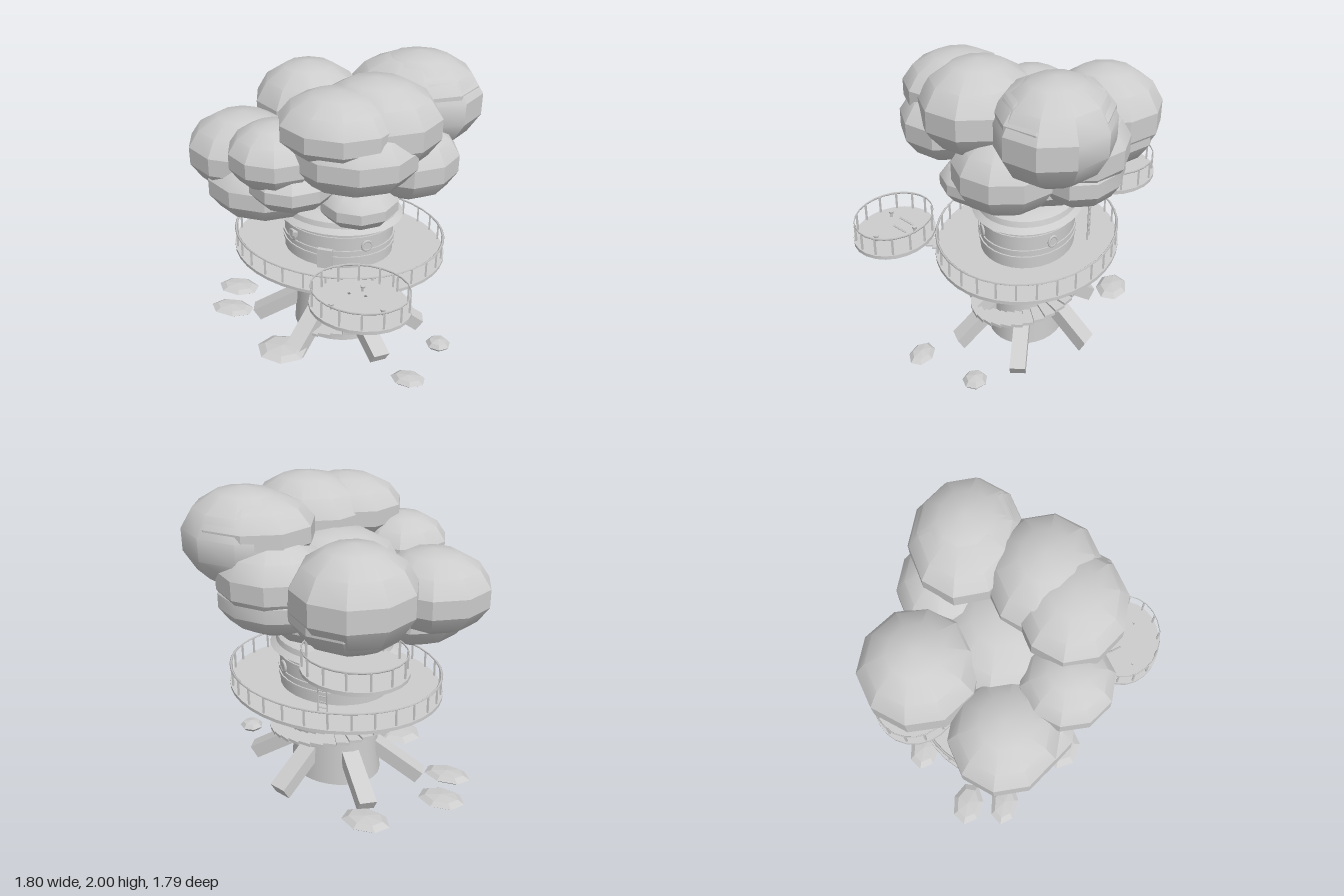
import * as THREE from 'three';
import { toCreasedNormals } from 'three/addons/utils/BufferGeometryUtils.js';

const grey = new THREE.MeshStandardMaterial({ color: 0xcccccc });
grey.name = 'plain grey';

function add(parent, name, geometry, x = 0, y = 0, z = 0) {
  const mesh = new THREE.Mesh(geometry, grey);
  mesh.name = name;
  mesh.position.set(x, y, z);
  parent.add(mesh);
  return mesh;
}

// Bar of square or round section between two points
function bar(parent, name, a, b, width, depth = 0) {
  const from = new THREE.Vector3(...a), to = new THREE.Vector3(...b);
  const length = from.distanceTo(to);
  const mesh = new THREE.Mesh(depth
    ? new THREE.BoxGeometry(width, depth, length)
    : new THREE.CylinderGeometry(width, width, length, 6).rotateX(Math.PI / 2), grey);
  mesh.name = name;
  mesh.position.copy(from).add(to).multiplyScalar(0.5);
  mesh.lookAt(to); // aimed before parenting, so in the parent's own space
  parent.add(mesh);
}

// Oval deck with posts and a top rail
function railedDeck(parent, name, x, y, z, rx, rz, posts, sides) {
  const deck = new THREE.Group();
  deck.name = name;
  deck.position.set(x, y, z);
  const floor = new THREE.CylinderGeometry(1, 1, 0.022, sides);
  add(deck, 'floor', toCreasedNormals(floor, 0.5)).scale.set(rx, 1, rz);
  const lip = new THREE.CylinderGeometry(0.96, 0.96, 0.012, sides);
  add(deck, 'underside', toCreasedNormals(lip, 0.5), 0, -0.015, 0).scale.set(rx, 1, rz);
  for (let i = 0; i < posts; i++) {
    const a = (i / posts) * Math.PI * 2;
    add(deck, 'railPost', new THREE.BoxGeometry(0.011, 0.115, 0.011),
      Math.cos(a) * (rx - 0.015), 0.065, Math.sin(a) * (rz - 0.015));
  }
  const rail = new THREE.TorusGeometry(1, 0.013, 4, sides).rotateX(Math.PI / 2);
  add(deck, 'handrail', rail, 0, 0.124, 0).scale.set(rx - 0.012, 0.6, rz - 0.012);
  parent.add(deck);
  return deck;
}

// Clumps of leaves: x, y, z, then the three radii
function addFoliage(parent) {
  const clumps = [
    [-0.27, 1.5, -0.55, 0.37, 0.31, 0.35], [-0.24, 1.42, -0.53, 0.36, 0.26, 0.34],
    [0.5, 1.69, -0.41, 0.4, 0.31, 0.33], [0.47, 1.76, -0.4, 0.4, 0.22, 0.32],
    [0.34, 1.71, 0.08, 0.39, 0.28, 0.33], [0.16, 1.74, 0.27, 0.36, 0.22, 0.31],
    [0.24, 1.58, 0.26, 0.39, 0.24, 0.31], [-0.215, 1.53, 0.31, 0.285, 0.21, 0.27],
    [-0.12, 1.36, 0.28, 0.27, 0.17, 0.27], [-0.54, 1.38, 0, 0.36, 0.26, 0.32],
    [-0.38, 1.22, 0.08, 0.37, 0.24, 0.32], [0.5, 1.4, -0.13, 0.32, 0.25, 0.3],
    [0.25, 1.18, 0.1, 0.25, 0.15, 0.25], [0.28, 1.37, -0.53, 0.34, 0.2, 0.24],
    [0.28, 1.5, -0.49, 0.35, 0.26, 0.3], [0.08, 1.24, -0.28, 0.38, 0.2, 0.3],
    [0.05, 1.45, -0.12, 0.42, 0.28, 0.38]];
  for (const [x, y, z, rx, ry, rz] of clumps) {
    // flattened first, so the crown stays smooth and the rim is creased
    const clump = new THREE.SphereGeometry(1, 10, 7).scale(rx / 0.975, ry, rz / 0.94);
    add(parent, 'foliage', toCreasedNormals(clump, 0.5), x, y, z);
  }
}

export function createModel() {
  const model = new THREE.Group();
  model.name = 'treeHouse';

  // Everything round the trunk shares its slightly oval plan
  const tree = new THREE.Group();
  tree.name = 'trunkAndHouse';
  tree.position.set(0.055, 0, -0.145);
  tree.scale.z = 0.82;
  model.add(tree);

  const lathe = (points) => toCreasedNormals(
    new THREE.LatheGeometry(points.map(p => new THREE.Vector2(...p)), 32), 0.5);
  add(tree, 'trunk', lathe([[0, 0.035], [0.31, 0.035], [0.295, 0.25], [0.28, 0.67], [0, 0.67]]));
  add(tree, 'house', lathe([[0, 0.66], [0.37, 0.66], [0.37, 0.965], [0, 0.965]]));
  for (const y of [0.755, 0.8, 0.9])
    add(tree, 'wallBand', lathe([[0.36, y - 0.01], [0.38, y - 0.01], [0.38, y + 0.01], [0.36, y + 0.01]]));
  add(tree, 'roof', lathe([[0, 0.957], [0.43, 0.957], [0.39, 0.985], [0.38, 1.02],
    [0.34, 1.04], [0.27, 1.05], [0.2, 1.13], [0.15, 1.3], [0, 1.3]]));

  // Round windows
  for (const deg of [48, 132, 228, 312]) {
    const a = deg * Math.PI / 180;
    const frame = new THREE.Group();
    frame.name = 'roundWindow';
    frame.position.set(Math.cos(a) * 0.375, 0.84, Math.sin(a) * 0.375);
    frame.rotation.y = Math.PI / 2 - a;
    add(frame, 'windowFrame', new THREE.TorusGeometry(0.034, 0.01, 6, 16));
    add(frame, 'windowPane', new THREE.CylinderGeometry(0.034, 0.034, 0.012, 16).rotateX(Math.PI / 2));
    tree.add(frame);
  }

  // Door and lamp
  add(tree, 'door', new THREE.BoxGeometry(0.1, 0.14, 0.05), -0.005, 0.75, 0.375);
  add(tree, 'lamp', new THREE.BoxGeometry(0.03, 0.03, 0.05), -0.22, 0.87, 0.31);

  // Slanting roots
  for (let i = 0; i < 6; i++) {
    const a = (-12 + i * 60) * Math.PI / 180;
    const c = Math.cos(a), s = Math.sin(a);
    bar(tree, 'root', [c * 0.22, 0.275, s * 0.22], [c * 0.59, 0.042, s * 0.59], 0.12, 0.095);
  }

  // Spiral stair, one full turn
  const steps = 34;
  for (let i = 0; i < steps; i++) {
    const t = i / (steps - 1), a = 1.75 - t * Math.PI * 2;
    const r = 0.385;
    add(tree, 'stairTread', new THREE.BoxGeometry(0.14, 0.02, 0.085),
      Math.cos(a) * r, 0.145 + t * 0.49, Math.sin(a) * r).rotation.y = -a;
  }

  // Main deck and the two balconies
  railedDeck(model, 'mainDeck', 0.055, 0.668, -0.145, 0.718, 0.588, 30, 40);
  const front = railedDeck(model, 'frontBalcony', 0.4, 0.787, 0.64, 0.308, 0.25, 14, 24);
  railedDeck(model, 'backBalcony', -0.3, 1.075, -0.61, 0.325, 0.28, 14, 24);

  // Stools on the front balcony
  for (const [x, z] of [[-0.15, 0.09], [0.15, 0.06], [-0.015, -0.13]]) {
    add(front, 'stoolLeg', new THREE.CylinderGeometry(0.008, 0.008, 0.035, 8), x, 0.025, z);
    add(front, 'stoolSeat', new THREE.CylinderGeometry(0.018, 0.014, 0.015, 10), x, 0.045, z);
  }

  // Curved steps from the main deck to the front balcony
  for (let i = 0; i < 6; i++)
    add(model, 'balconyStep', new THREE.BoxGeometry(0.11, 0.012, 0.045),
      0.32 + i * 0.012, 0.69 + i * 0.019, 0.4 + i * 0.036).rotation.y = 0.35;
  for (const x of [0.26, 0.36]) {
    const path = new THREE.CatmullRomCurve3([[0, 0.7, 0.4], [0.02, 0.74, 0.48], [0.05, 0.8, 0.56], [0.08, 0.86, 0.63]]
      .map(([dx, y, z]) => new THREE.Vector3(x + dx, y, z)));
    add(model, 'stepRail', new THREE.TubeGeometry(path, 12, 0.006, 5));
  }

  // Ladder to the back balcony
  for (const x of [-0.08, -0.02])
    bar(model, 'ladderRail', [x, 0.67, -0.53], [x, 1.07, -0.53], 0.005);
  for (let i = 0; i < 9; i++)
    bar(model, 'ladderRung', [-0.08, 0.71 + i * 0.04, -0.53], [-0.02, 0.71 + i * 0.04, -0.53], 0.004);

  addFoliage(model);

  // Flat stones on the ground: x, z and radii
  const stone = toCreasedNormals(new THREE.SphereGeometry(1, 7, 4), 0.3);
  [[0.675, 0.385, 0.115, 0.08], [0.805, -0.02, 0.085, 0.078], [-0.75, -0.26, 0.155, 0.11],
    [-0.205, 0.335, 0.175, 0.15], [-0.7, 0.0, 0.16, 0.1], [-0.4, -0.66, 0.16, 0.11]]
    .forEach(([x, z, rx, rz], i) => {
      add(model, 'groundStone', stone, x, 0.064, z).scale.set(rx, 0.034 + (i % 2) * 0.004, rz);
    });

  return model;
}
